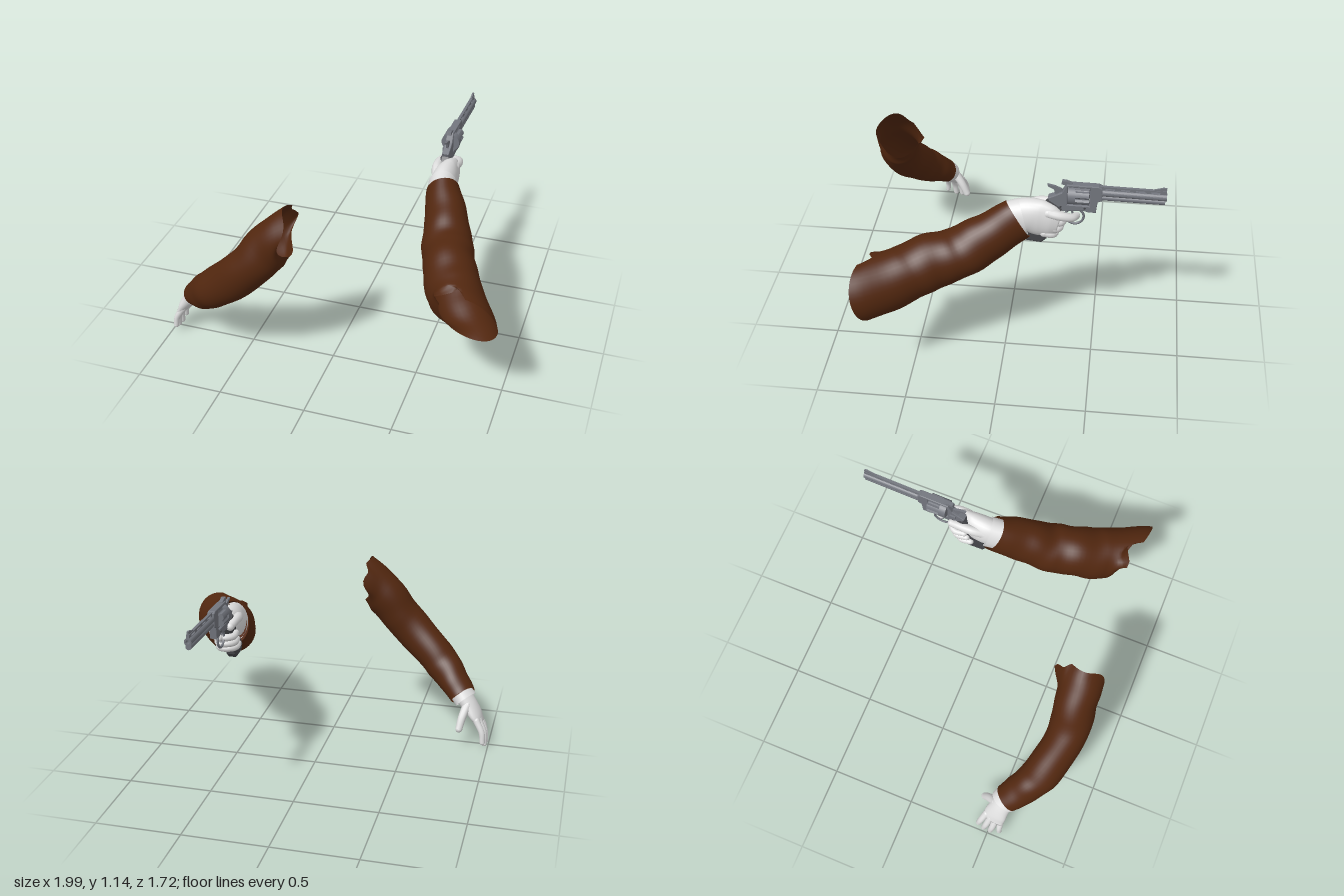
import * as THREE from 'three';

const mat = (name, color, side = THREE.FrontSide) => {
  const m = new THREE.MeshStandardMaterial({ color, side });
  m.name = name;
  return m;
};
const V = (x, y, z) => new THREE.Vector3(x, y, z);

// Smooth skin through oval stations [x, y, z, halfWidth, halfHeight].
function loft(stations, { rings = 24, sides = 28, startDir, endDir, shape, caps = false } = {}) {
  const path = new THREE.CatmullRomCurve3(stations.map(s => V(s[0], s[1], s[2])));
  const size = new THREE.CatmullRomCurve3(stations.map(s => V(s[3], s[4], 0)));
  const pos = [], index = [];
  for (let i = 0; i <= rings; i++) {
    const u = i / rings, c = path.getPoint(u), r = size.getPoint(u), t = path.getTangent(u);
    if (startDir) t.lerp(startDir, Math.max(0, 1 - u * 4));
    if (endDir) t.lerp(endDir, Math.max(0, u * 4 - 3));
    t.normalize();
    const side = V(-t.z, 0, t.x).normalize(), up = side.clone().cross(t);
    for (let j = 0; j < sides; j++) {
      const a = j / sides * Math.PI * 2;
      const [k, push] = shape ? shape(u, a) : [1, 0];
      const p = c.clone().addScaledVector(side, r.x * k * Math.cos(a))
        .addScaledVector(up, r.y * k * Math.sin(a)).addScaledVector(t, push);
      pos.push(p.x, p.y, p.z);
      if (i < rings) {
        const n = i * sides + (j + 1) % sides, o = i * sides + j;
        index.push(o, o + sides, n, n, o + sides, n + sides);
      }
    }
  }
  if (caps) for (const i of [0, rings]) {
    const c = path.getPoint(i / rings), m = pos.length / 3;
    pos.push(c.x, c.y, c.z);
    for (let j = 0; j < sides; j++) {
      const a = i * sides + j, b = i * sides + (j + 1) % sides;
      index.push(m, ...(i ? [b, a] : [a, b]));
    }
  }
  const g = new THREE.BufferGeometry();
  g.setAttribute('position', new THREE.Float32BufferAttribute(pos, 3));
  g.setIndex(index);
  g.computeVertexNormals();
  return g;
}

const bump = (a, at, w) => Math.max(0, 1 - Math.abs(Math.atan2(Math.sin(a - at), Math.cos(a - at))) / w);

export function createModel() {
  const root = new THREE.Group();
  root.name = 'armsWithRevolver';
  const cloth = mat('brownCloth', 0x52270f, THREE.DoubleSide);
  const white = mat('whiteGlove', 0xdedede, THREE.DoubleSide);
  const steel = mat('gunSteel', 0x73767e);
  const dark = mat('darkGrip', 0x45464a);
  const add = (parent, name, geo, material) => {
    const m = new THREE.Mesh(geo, material);
    m.name = name;
    parent.add(m);
    return m;
  };

  // Sleeves: soft folds, torn edge at the shoulder end
  const folds = (u, a) => 1 + 0.018 * Math.sin(u * 21 + 2 * a) + 0.012 * Math.sin(u * 37 - a);
  const gunArm = new THREE.Group(), freeArm = new THREE.Group();
  gunArm.name = 'gunArm';
  freeArm.name = 'freeArm';
  root.add(gunArm, freeArm);
  add(gunArm, 'gunSleeve', loft([
    [0.477, 0.897, -0.07, 0.094, 0.128], [0.545, 0.8, 0.1, 0.125, 0.138], [0.593, 0.722, 0.25, 0.143, 0.145],
    [0.645, 0.685, 0.4, 0.147, 0.16], [0.715, 0.632, 0.55, 0.152, 0.165], [0.822, 0.612, 0.71, 0.172, 0.166],
  ], {
    rings: 36, sides: 40, endDir: V(-0.25, -0.3, 1),
    shape: (u, a) => {
      const e = Math.max(0, u * 8 - 7);
      return [folds(u, a) + 0.3 * e * bump(a, 0.65, 0.3), e * (0.02 * bump(a, 0.65, 0.3) - 0.07 * bump(a, 1.15, 0.4))];
    },
  }), cloth);
  add(freeArm, 'freeSleeve', loft([
    [-0.82, 0.305, 0.545, 0.084, 0.074], [-0.73, 0.39, 0.625, 0.1, 0.1], [-0.63, 0.485, 0.69, 0.11, 0.115],
    [-0.415, 0.685, 0.745, 0.115, 0.122], [-0.28, 0.85, 0.73, 0.12, 0.13], [-0.17, 0.968, 0.715, 0.125, 0.145],
  ], {
    rings: 36, sides: 40, endDir: V(1, 0, 0),
    shape: (u, a) => {
      const e = Math.max(0, u * 8 - 7);
      return [folds(u, a) + 0.28 * e * bump(a, Math.PI, 0.45), e * (0.02 * Math.sin(3 * a) - 0.04 * bump(a, 2.6, 0.4))];
    },
  }), cloth);

  // Shirt cuffs and palms
  add(gunArm, 'gunCuff', loft([
    [0.482, 0.892, -0.03, 0.082, 0.112], [0.468, 0.908, -0.1, 0.083, 0.112],
  ], { rings: 4 }), white);
  add(gunArm, 'gunPalm', loft([
    [0.475, 0.9, -0.04, 0.07, 0.1], [0.468, 0.92, -0.12, 0.072, 0.103], [0.475, 0.912, -0.19, 0.062, 0.112],
    [0.488, 0.905, -0.25, 0.045, 0.1], [0.492, 0.895, -0.295, 0.03, 0.07],
  ], { caps: true }), white);
  add(freeArm, 'freeCuff', loft([
    [-0.81, 0.315, 0.55, 0.078, 0.068], [-0.84, 0.283, 0.535, 0.08, 0.067],
  ], { rings: 4 }), white);
  add(freeArm, 'freePalm', loft([
    [-0.82, 0.305, 0.545, 0.066, 0.055], [-0.87, 0.25, 0.527, 0.063, 0.044],
    [-0.91, 0.195, 0.515, 0.069, 0.034], [-0.938, 0.15, 0.51, 0.064, 0.022],
  ], { caps: true }), white);

  // Fingers: tapered skin with round ends
  const finger = (parent, name, r, pts) => {
    const g = new THREE.Group();
    g.name = name;
    parent.add(g);
    const n = pts.length - 1;
    const tip = r * 0.78;
    add(g, name + 'Body', loft(pts.map((p, i) => {
      const w = r + (tip - r) * i / n;
      return [...p, w, w];
    }), { rings: 14, sides: 12 }), white);
    [[0, r], [n, tip]].forEach(([i, s]) =>
      add(g, name + 'End', new THREE.SphereGeometry(s, 12, 8), white).position.set(...pts[i]));
  };
  finger(freeArm, 'freeIndex', 0.021, [[-0.92, 0.175, 0.463], [-0.96, 0.105, 0.442], [-0.968, 0.045, 0.432]]);
  finger(freeArm, 'freeMiddle', 0.021, [[-0.932, 0.17, 0.495], [-0.97, 0.09, 0.48], [-0.977, 0.02, 0.47]]);
  finger(freeArm, 'freeRing', 0.021, [[-0.932, 0.17, 0.528], [-0.972, 0.09, 0.52], [-0.98, 0.023, 0.512]]);
  finger(freeArm, 'freeLittle', 0.019, [[-0.922, 0.175, 0.558], [-0.962, 0.105, 0.562], [-0.97, 0.05, 0.565]]);
  finger(freeArm, 'freeThumb', 0.028, [[-0.855, 0.265, 0.495], [-0.832, 0.195, 0.445], [-0.82, 0.13, 0.413]]);
  finger(gunArm, 'triggerFinger', 0.027, [[0.505, 0.965, -0.235], [0.51, 0.953, -0.31], [0.49, 0.935, -0.365], [0.455, 0.925, -0.385]]);
  [['gunMiddle', 0.9, -0.315], ['gunRing', 0.858, -0.3], ['gunLittle', 0.82, -0.275]].forEach(([name, y, z]) =>
    finger(gunArm, name, 0.024, [[0.5, y + 0.01, z + 0.06], [0.492, y, z + 0.01], [0.445, y, z],
      [0.405, y, z + 0.03], [0.408, y, z + 0.09]]));
  finger(gunArm, 'gunThumb', 0.03, [[0.43, 0.955, -0.11], [0.41, 0.975, -0.18], [0.41, 0.975, -0.25], [0.415, 0.965, -0.305]]);

  // Revolver: side outlines in (forward, up), extruded across its width
  const gun = new THREE.Group();
  gun.name = 'revolver';
  gun.position.x = 0.438;
  gun.rotation.y = -0.025;
  root.add(gun);
  const outline = pts => pts.map(p => new THREE.Vector2(...p));
  const plate = (name, pts, width, material = steel, holes = [], bevel = 0) => {
    const s = new THREE.Shape(outline(pts));
    s.holes = holes.map(h => new THREE.Path(outline(h)));
    const depth = width - 2 * bevel;
    const g = new THREE.ExtrudeGeometry(s, {
      depth, bevelEnabled: bevel > 0, bevelSize: bevel, bevelThickness: bevel, bevelOffset: -bevel, bevelSegments: 2,
    });
    g.translate(0, 0, -depth / 2).rotateY(Math.PI / 2);
    return add(gun, name, g, material);
  };
  const rect = (a, b, c, d) => [[a, c], [b, c], [b, d], [a, d]];
  const rod = (name, r, from, to, y, material = steel, n = 20) => {
    const m = add(gun, name, new THREE.CylinderGeometry(r, r, to - from, n).rotateX(Math.PI / 2), material);
    m.position.set(0, y, -(from + to) / 2);
    return m;
  };
  plate('frame', [[0.23, 1.035], [0.25, 0.98], [0.31, 0.955], [0.42, 0.968], [0.45, 0.96], [0.49, 0.96], [0.497, 1.03],
    [0.52, 1.04], [0.52, 1.118], [0.5, 1.128], [0.33, 1.128], [0.305, 1.075], [0.27, 1.055]],
  0.042, steel, [rect(0.335, 0.455, 1.0, 1.113)], 0.004);
  plate('grip', [[0.24, 1.02], [0.31, 0.97], [0.275, 0.9], [0.24, 0.84], [0.228, 0.765], [0.2, 0.737], [0.11, 0.745],
    [0.09, 0.785], [0.15, 0.87], [0.19, 0.97]], 0.056, dark, [], 0.01);
  // Cylinder with six flutes
  const flutes = [];
  for (let i = 0; i < 72; i++) {
    const a = i / 72 * Math.PI * 2, r = 0.053 - 0.011 * Math.max(0, Math.cos(6 * a));
    flutes.push(new THREE.Vector2(r * Math.cos(a), r * Math.sin(a)));
  }
  add(gun, 'flutedCylinder', new THREE.ExtrudeGeometry(new THREE.Shape(flutes), { depth: 0.075, bevelEnabled: false }), steel)
    .position.set(0, 1.058, -0.452);
  rod('cylinderRear', 0.053, 0.338, 0.378, 1.058, steel, 32);
  // Barrel with an open bore, lug and ventilated rib
  const muzzle = new THREE.Shape().absarc(0, 0, 0.021, 0, Math.PI * 2);
  muzzle.holes.push(new THREE.Path().absarc(0, 0, 0.011, 0, Math.PI * 2, true));
  add(gun, 'barrel', new THREE.ExtrudeGeometry(muzzle, { depth: 0.35, bevelEnabled: false, curveSegments: 16 }), steel)
    .position.set(0, 1.084, -0.86);
  rod('boreBack', 0.012, 0.6, 0.61, 1.084, dark);
  rod('barrelLug', 0.017, 0.5, 0.853, 1.054);
  rod('ejectorRod', 0.008, 0.46, 0.53, 1.054);
  plate('barrelRib', rect(0.5, 0.858, 1.098, 1.124), 0.016, steel,
    [0.535, 0.615, 0.695, 0.775].map(s => rect(s, s + 0.05, 1.106, 1.115)));
  plate('frontSight', [[0.775, 1.122], [0.857, 1.122], [0.857, 1.14], [0.84, 1.142]], 0.01);
  plate('rearSight', [[0.3, 1.122], [0.36, 1.122], [0.36, 1.13], [0.325, 1.143], [0.305, 1.143]], 0.022);
  plate('hammer', [[0.3, 1.035], [0.325, 1.06], [0.3, 1.09], [0.265, 1.105], [0.225, 1.113], [0.23, 1.1],
    [0.26, 1.085], [0.272, 1.05]], 0.014);
  // Trigger and guard
  const guard = add(gun, 'triggerGuard', new THREE.TorusGeometry(0.05, 0.007, 8, 32).rotateY(Math.PI / 2), steel);
  guard.position.set(0, 0.918, -0.375);
  const bend = new THREE.QuadraticBezierCurve3(V(0, 0.965, -0.36), V(0, 0.925, -0.36), V(0, 0.895, -0.385));
  add(gun, 'trigger', new THREE.TubeGeometry(bend, 8, 0.006, 8), steel);
  // Cylinder latch and frame screws
  add(gun, 'latch', new THREE.BoxGeometry(0.012, 0.022, 0.035), steel).position.set(-0.024, 1.035, -0.3);
  [[0.3, 0.985], [0.43, 0.985]].forEach(([f, y]) => {
    const s = add(gun, 'frameScrew', new THREE.CylinderGeometry(0.006, 0.006, 0.046, 12).rotateZ(Math.PI / 2), dark);
    s.position.set(0, y, -f);
  });
  return root;
}
